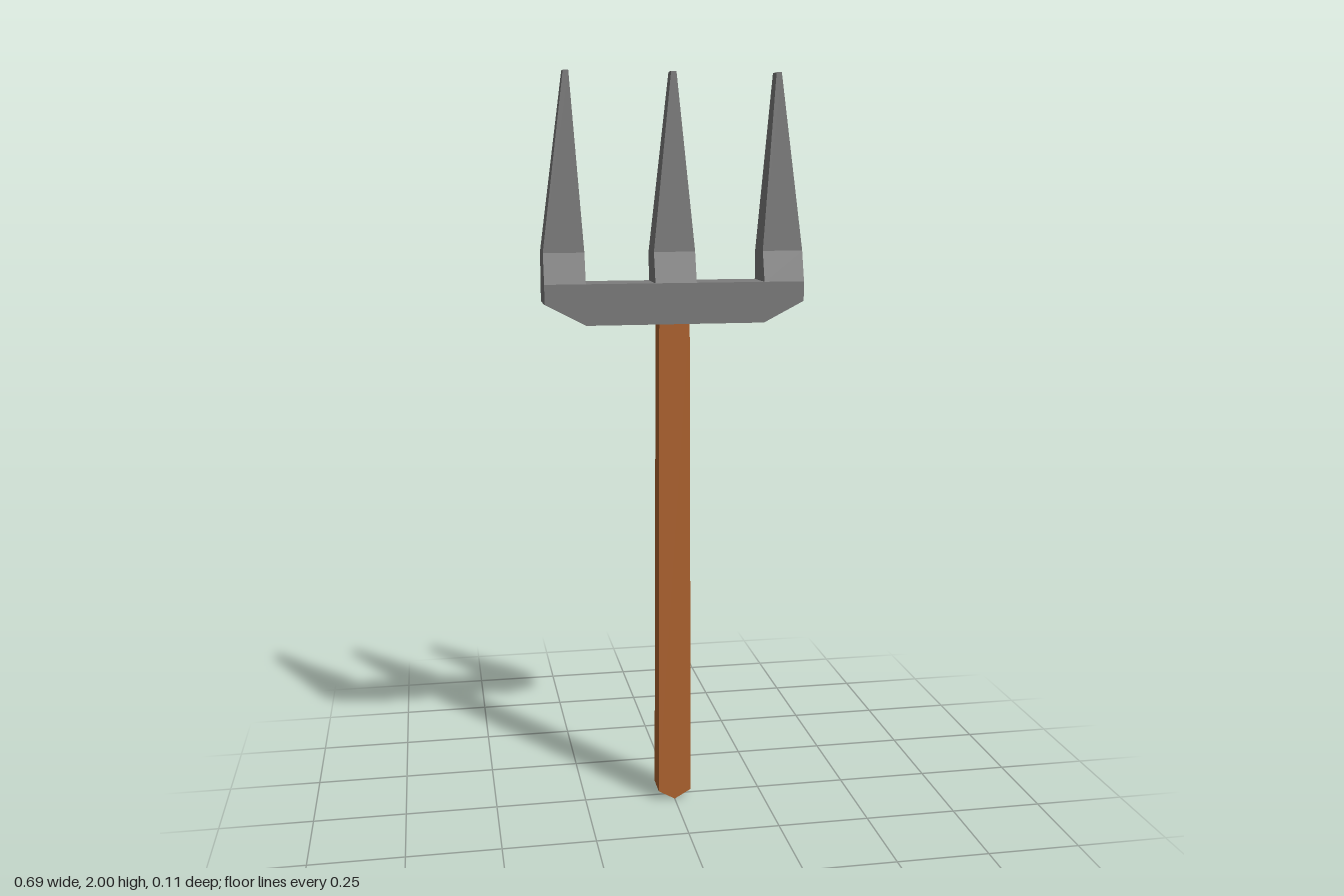
import * as THREE from 'three';

const metal = new THREE.MeshStandardMaterial({ color: 0x7c7c7c, flatShading: true });
const wood = new THREE.MeshStandardMaterial({ color: 0xb0642f, flatShading: true });

// Lofts rectangular sections [y, x0, x1, z0, z1], listed from bottom to top
function loft(name, sections, material) {
  const rings = sections.map(([y, x0, x1, z0, z1]) => [
    [x0, y, z1], [x1, y, z1], [x1, y, z0], [x0, y, z0],
  ]);
  const pos = [];
  const quad = (a, b, c, d) => pos.push(...a, ...b, ...c, ...a, ...c, ...d);
  for (let r = 0; r < rings.length - 1; r++) {
    const lo = rings[r], up = rings[r + 1];
    for (let i = 0; i < 4; i++) {
      const j = (i + 1) % 4;
      quad(lo[i], lo[j], up[j], up[i]);
    }
  }
  quad(...rings[rings.length - 1]);
  quad(...rings[0].slice().reverse());
  const geometry = new THREE.BufferGeometry();
  geometry.setAttribute('position', new THREE.Float32BufferAttribute(pos, 3));
  geometry.computeVertexNormals();
  const mesh = new THREE.Mesh(geometry, material);
  mesh.name = name;
  return mesh;
}

// One prong: sloped front shoulder, then a long taper to a blunt tip
function prong(name, x0, x1, tipX) {
  return loft(name, [
    [1.46, x0, x1, -0.055, 0.055],
    [1.54, x0, x1, -0.055, 0.031],
    [2, tipX - 0.007, tipX + 0.007, -0.021, 0.019],
  ], metal);
}

export function createModel() {
  const model = new THREE.Group();
  model.name = 'pitchfork';

  // Slightly tapered shaft ending in a wedge with its ridge along z
  model.add(loft('handle', [
    [0, 0, 0, -0.036, 0.036],
    [0.026, -0.046, 0.046, -0.036, 0.036],
    [1.37, -0.041, 0.041, -0.03, 0.03],
  ], wood));

  const head = new THREE.Group();
  head.name = 'head';
  model.add(head);

  // Crossbar with chamfered lower corners
  const outline = new THREE.Shape([
    [-0.238, 1.352], [0.238, 1.352], [0.346, 1.408],
    [0.346, 1.46], [-0.346, 1.46], [-0.346, 1.408],
  ].map(([x, y]) => new THREE.Vector2(x, y)));
  const barGeometry = new THREE.ExtrudeGeometry(outline, { depth: 0.11, bevelEnabled: false });
  barGeometry.translate(0, 0, -0.055);
  const bar = new THREE.Mesh(barGeometry, metal);
  bar.name = 'crossbar';
  head.add(bar);

  // Three prongs, the outer pair mirrored
  head.add(prong('middleProng', -0.055, 0.055, 0));
  head.add(prong('leftProng', 0.238, 0.346, 0.279));
  head.add(prong('rightProng', -0.346, -0.238, -0.279));

  return model;
}
